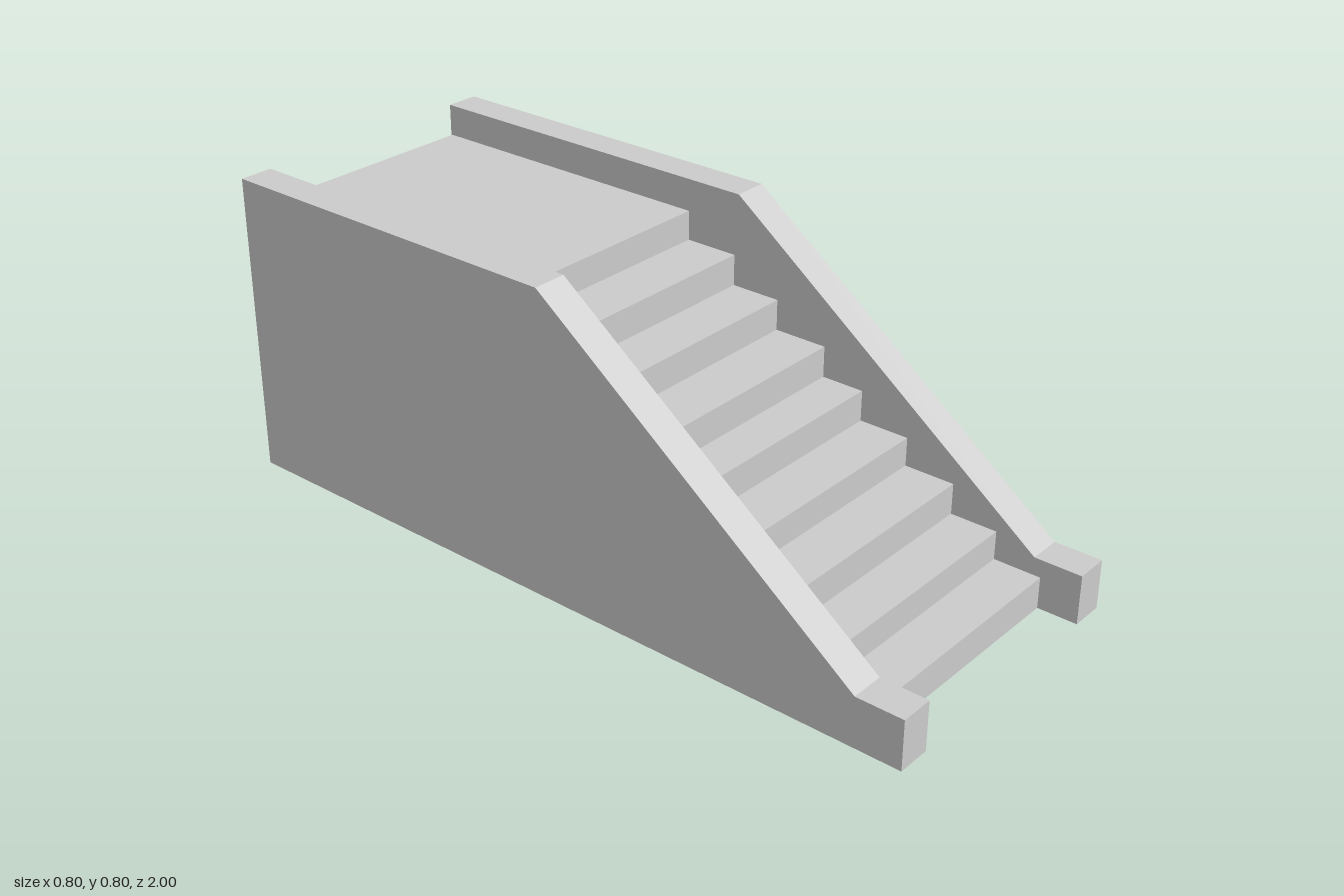
import * as THREE from 'three';

const material = new THREE.MeshStandardMaterial({ color: 0xcccccc });

// Extrudes a side profile of [z, y] points across x, centred on x = centre.
function sideExtrusion(name, profile, width, centre) {
  const shape = new THREE.Shape(profile.map(([z, y]) => new THREE.Vector2(z, y)));
  const geometry = new THREE.ExtrudeGeometry(shape, { depth: width, bevelEnabled: false });
  geometry.rotateY(-Math.PI / 2); // profile z -> world z, depth -> -x
  geometry.translate(centre + width / 2, 0, 0);
  const mesh = new THREE.Mesh(geometry, material);
  mesh.name = name;
  return mesh;
}

export function createModel() {
  const group = new THREE.Group();
  group.name = 'staircase';

  // Steps: tread heights and riser positions, lowest first
  const treads = [0.083, 0.158, 0.239, 0.314, 0.394, 0.475, 0.555, 0.636, 0.713];
  const risers = [0.895, 0.77, 0.645, 0.51, 0.375, 0.26, 0.115, -0.02, -0.165];
  const back = -0.996, skin = 0.008, ceiling = 0.078;

  const stairs = [[risers[0], 0]];
  treads.forEach((y, i) => {
    if (i > 0) stairs.push([risers[i], treads[i - 1]]);
    stairs.push([risers[i], y]);
  });
  // Landing, back face and the hollow underside
  stairs.push(
    [back, treads[treads.length - 1]], [back, 0], [back + skin, 0],
    [back + skin, ceiling], [risers[0] - skin, ceiling], [risers[0] - skin, 0],
  );
  group.add(sideExtrusion('stepsAndLanding', stairs, 0.62, 0));

  // Side walls: low front post, sloped parapet, level parapet
  const wall = [[1, 0], [1, 0.13], [0.875, 0.13], [-0.01, 0.797], [-1, 0.797], [-1, 0]];
  for (const [name, side] of [['leftWall', 1], ['rightWall', -1]]) {
    group.add(sideExtrusion(name, wall, 0.09, side * 0.355));
  }
  return group;
}
